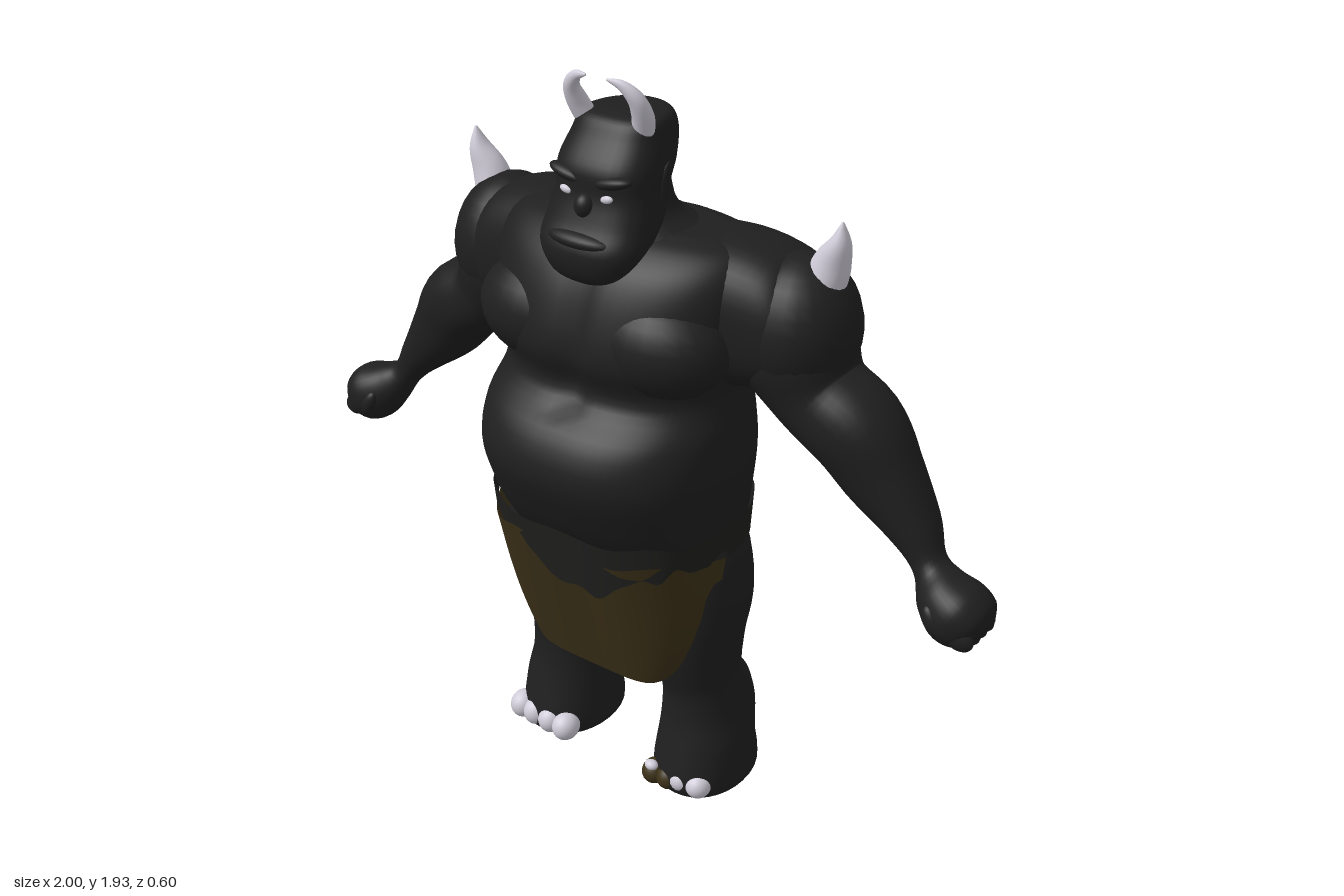
import * as THREE from 'three';

const mat = (name, color, side = THREE.FrontSide) => {
  const m = new THREE.MeshStandardMaterial({ color, side });
  m.name = name;
  return m;
};

// Smooth closed body through rows of [x, y, zFront, zBack, halfWidth].
function loft(rows, { p = 2, seg = 32, sub = 5, taper = 0, side = 1, tweak } = {}) {
  const path = new THREE.CatmullRomCurve3(rows.map(r => new THREE.Vector3(r[0] * side, r[1], 0)), false, 'catmullrom');
  const size = new THREE.CatmullRomCurve3(rows.map(r => new THREE.Vector3(r[2], r[3], r[4])), false, 'catmullrom');
  const n = (rows.length - 1) * sub, pos = [], idx = [];
  const pow = c => Math.sign(c) * Math.abs(c) ** (2 / p);
  for (let i = 0; i <= n; i++) {
    const c = path.getPoint(i / n), t = path.getTangent(i / n), s = size.getPoint(i / n);
    for (let j = 0; j < seg; j++) {
      const a = j / seg * Math.PI * 2;
      const u = pow(Math.cos(a)) * s.z * (1 + taper * Math.sin(a));
      const v = (s.x + s.y) / 2 + pow(Math.sin(a)) * (s.x - s.y) / 2;
      const q = new THREE.Vector3(c.x + t.y * u, c.y - t.x * u, v);
      if (tweak) tweak(q);
      pos.push(q.x, q.y, q.z);
      if (i < n) {
        const k = i * seg + j, l = i * seg + (j + 1) % seg;
        idx.push(k, k + seg, l, l, k + seg, l + seg);
      }
    }
  }
  // End caps
  const first = path.getPoint(0), last = path.getPoint(1);
  pos.push(first.x, first.y, (rows[0][2] + rows[0][3]) / 2);
  const e = rows[rows.length - 1];
  pos.push(last.x, last.y, (e[2] + e[3]) / 2);
  const m = (n + 1) * seg;
  for (let j = 0; j < seg; j++) {
    const l = (j + 1) % seg;
    idx.push(m, j, l, m + 1, n * seg + l, n * seg + j);
  }
  return finish(pos, idx);
}

function finish(pos, idx) {
  const g = new THREE.BufferGeometry();
  g.setAttribute('position', new THREE.Float32BufferAttribute(pos, 3));
  g.setIndex(idx);
  g.computeVertexNormals();
  return g;
}

// Open sheet from a rule f(u, v) giving a point, with u and v in 0..1.
function sheet(f, nu, nv) {
  const pos = [], idx = [];
  for (let i = 0; i <= nv; i++) for (let j = 0; j <= nu; j++) {
    pos.push(...f(j / nu, i / nv));
    if (i < nv && j < nu) {
      const k = i * (nu + 1) + j, l = k + nu + 1;
      idx.push(k, l, k + 1, k + 1, l, l + 1);
    }
  }
  return finish(pos, idx);
}

export function createModel() {
  const skin = mat('darkSkin', 0x1f1f1f);
  const band = mat('darkLeather', 0x1e1e1d, THREE.DoubleSide);
  const cloth = mat('brownCloth', 0x3d3219, THREE.DoubleSide);
  const bone = mat('paleBone', 0xd0ccd8);
  const model = new THREE.Group();
  model.name = 'hornedBrute';

  const add = (name, geo, material) => {
    const mesh = new THREE.Mesh(geo, material);
    mesh.name = name;
    model.add(mesh);
    return mesh;
  };
  const ball = (name, material, x, y, z, rx, ry, rz, tilt = 0) => {
    const b = add(name, new THREE.SphereGeometry(1, 24, 16), material);
    b.position.set(x, y, z);
    b.scale.set(rx, ry, rz);
    b.rotation.z = tilt;
    return b;
  };

  // Torso: hips, big belly, chest and flat shoulders, with chest and spine grooves
  add('torso', loft([
    [0, .67, .06, -.14, .17], [0, .73, .16, -.2, .28], [0, .80, .21, -.245, .32],
    [0, .88, .255, -.275, .33], [0, 1.0, .3, -.303, .335], [0, 1.1, .27, -.288, .33],
    [0, 1.19, .185, -.265, .315], [0, 1.29, .21, -.28, .325], [0, 1.4, .185, -.29, .345],
    [0, 1.49, .14, -.275, .35], [0, 1.545, .08, -.23, .32], [0, 1.57, .02, -.17, .24],
  ], {
    p: 2.4, seg: 72, tweak: q => {
      const groove = Math.exp(-((q.x / .035) ** 2));
      if (q.z > .1 && q.y > 1.15) q.z -= .018 * groove;
      if (q.z < -.15 && q.y > 1) q.z += .018 * groove;
    },
  }), skin);
  // Shoulder girdle running across the upper back and into both arms
  add('shoulderGirdle', loft([
    [-.52, 1.4, -.01, -.235, .09], [-.43, 1.38, .03, -.268, .15], [-.3, 1.385, .06, -.28, .182],
    [-.15, 1.38, .12, -.285, .186], [0, 1.375, .14, -.272, .186], [.15, 1.38, .12, -.285, .186],
    [.3, 1.385, .06, -.28, .182], [.43, 1.38, .03, -.268, .15], [.52, 1.4, -.01, -.235, .09],
  ], { p: 2.5, seg: 40 }), skin);
  add('neck', loft([
    [0, 1.47, .1, -.24, .29], [0, 1.55, .09, -.205, .2], [0, 1.6, .07, -.145, .125], [0, 1.68, .05, -.12, .1],
  ]), skin);

  // Head: heavy jaw, narrow back, flat crown
  add('head', loft([
    [0, 1.445, .125, .03, .05], [0, 1.475, .165, -.02, .1], [0, 1.54, .18, -.07, .132],
    [0, 1.6, .15, -.1, .132], [0, 1.66, .128, -.12, .124], [0, 1.72, .122, -.152, .124],
    [0, 1.78, .08, -.163, .112], [0, 1.82, .05, -.14, .1], [0, 1.832, .01, -.1, .06],
  ], { p: 2.4, taper: .24, seg: 40 }), skin);
  ball('lowerLip', skin, 0, 1.565, .145, .09, .022, .037);
  ball('nose', skin, 0, 1.64, .125, .026, .03, .028);

  const leg = [
    [.225, 0, .03, -.2, .085], [.225, .02, .06, -.238, .122], [.225, .06, .064, -.245, .127],
    [.225, .14, .045, -.226, .122], [.22, .22, .028, -.237, .115], [.218, .3, .026, -.213, .11],
    [.213, .37, .045, -.175, .108], [.215, .48, .075, -.175, .118], [.21, .6, .092, -.185, .145],
    [.2, .72, .11, -.19, .142], [.17, .82, .1, -.18, .12],
  ];
  const arm = [
    [.36, 1.4, .02, -.26, .13], [.43, 1.31, .025, -.265, .135], [.495, 1.22, 0, -.25, .106],
    [.595, 1.16, -.005, -.235, .112], [.67, 1.065, -.03, -.22, .097], [.765, .955, -.055, -.195, .06],
    [.818, .885, -.06, -.155, .04], [.86, .845, -.015, -.15, .06], [.91, .81, .008, -.16, .08],
    [.955, .785, -.005, -.155, .07], [.982, .77, -.04, -.12, .035],
  ];
  const horn = [
    [.08, 1.8, .04, -.01, .028], [.092, 1.845, .06, .008, .027], [.09, 1.885, .075, .035, .021],
    [.065, 1.915, .083, .06, .013], [.03, 1.926, .086, .08, .003],
  ];
  const spike = [
    [.485, 1.49, -.07, -.18, .05], [.503, 1.545, -.08, -.168, .045],
    [.525, 1.6, -.085, -.145, .026], [.532, 1.652, -.105, -.113, .003],
  ];

  for (const side of [1, -1]) {
    const s = side > 0 ? 'left' : 'right';
    // Limbs
    add(s + 'Leg', loft(leg, { p: 2.15, side }), skin);
    ball(s + 'Deltoid', skin, side * .43, 1.37, -.12, .145, .18, .154);
    add(s + 'Arm', loft(arm, { p: 2.2, side }), skin);
    ball(s + 'Thumb', skin, side * .885, .8, -.012, .022, .042, .02, side * .5);
    for (let i = 0; i < 4; i++)
      ball(s + 'Finger', skin, side * .942, .778, -.025 - i * .034, .045, .033, .022, side * -.5);
    // Chest muscle and buttock
    ball(s + 'Pec', skin, side * .165, 1.325, .06, .185, .135, .138);
    ball(s + 'Buttock', skin, side * .14, .74, -.13, .14, .12, .1);
    // Horn and shoulder spike
    add(s + 'Horn', loft(horn, { side, seg: 20 }), bone);
    add(s + 'ShoulderSpike', loft(spike, { side, seg: 20 }), bone);
    // Brow, eye and ear
    ball(s + 'Brow', skin, side * .06, 1.7, .105, .056, .016, .026, side * .2);
    ball(s + 'Eye', bone, side * .058, 1.665, .122, .017, .009, .008, side * .2);
    const ear = add(s + 'Ear', new THREE.ConeGeometry(.03, .09, 12), skin);
    ear.position.set(side * .12, 1.695, -.01);
    ear.rotation.z = side * -.35;
  }

  // Toes: the right foot fully pale, the left patchy
  [-.31, -.26, -.205, -.152].forEach((x, i) =>
    ball('rightToe', bone, x, .05, .03 + i * .004, .037, .04, .042));
  [[.15, cloth], [.195, cloth], [.235, bone], [.285, bone]].forEach(([x, m], i) =>
    ball('leftToe', m, x, m === bone ? .052 : .042, .038 - i * .003, .034, .035, .038));
  ball('leftToenail', bone, .15, .07, .055, .019, .014, .016);

  // Leather waistband with ragged lower edge, higher at the back
  const pw = c => Math.sign(c) * Math.abs(c) ** (2 / 2.4);
  add('waistband', sheet((u, v) => {
    const a = u * Math.PI * 2, c = pw(Math.cos(a)), d = pw(Math.sin(a));
    const top = .86 - .025 * d + .006 * Math.sin(a * 9);
    const dip = d > 0 ? .095 * Math.exp(-(((c - .2) / .45) ** 2)) : .02;
    const low = .78 - dip + .011 * Math.sin(a * 14) + .006 * Math.sin(a * 23);
    const w = 1 - .02 * v;
    return [c * .338 * w, THREE.MathUtils.lerp(top, low, v), -.014 + d * .262 * w];
  }, 120, 4), band);

  // Front loincloth wrapping around the hips
  add('frontCloth', sheet((u, v) => {
    const k = u * 2 - 1, e = Math.abs(k);
    const y = .785 - v * (.415 - .09 * e ** 8) + .008 * Math.sin(k * 11) * (1 - v);
    const w = .34 - .025 * v - .065 * v ** 3;
    return [k * w, y, .238 - .125 * v - .22 * (1 - v * .7) * e ** 4.5];
  }, 40, 16), cloth);

  // Back loincloth narrowing to a slanted point
  add('backCloth', sheet((u, v) => {
    const k = u * 2 - 1, e = Math.abs(k);
    const w = .29 - .06 * v - .13 * v ** 3;
    const y = .785 - v * (.29 - .04 * e ** 3);
    return [k * w - .07 * v * v, y, -.258 + .045 * v + .11 * (1 - v * .7) * e ** 4];
  }, 32, 12), cloth);

  return model;
}
